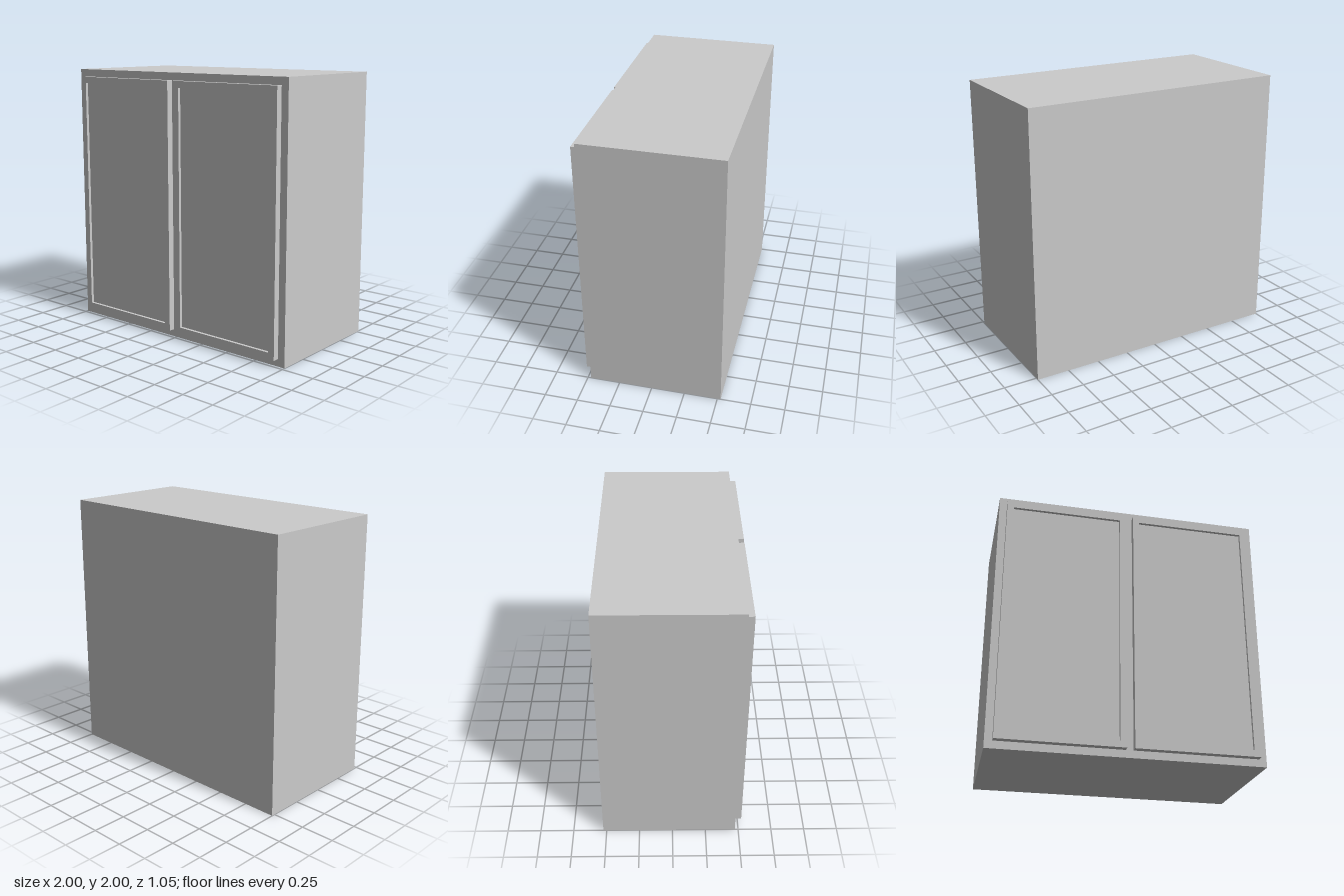
import * as THREE from 'three';

const material = new THREE.MeshStandardMaterial({ color: 0xcccccc, flatShading: true });

function box(name, w, h, d, x, y, z) {
  const mesh = new THREE.Mesh(new THREE.BoxGeometry(w, h, d), material);
  mesh.name = name;
  mesh.position.set(x, y, z);
  return mesh;
}

// Rectangle outline centred on the origin
function rectangle(PathType, w, h) {
  return new PathType([
    new THREE.Vector2(-w / 2, -h / 2),
    new THREE.Vector2(w / 2, -h / 2),
    new THREE.Vector2(w / 2, h / 2),
    new THREE.Vector2(-w / 2, h / 2),
  ]);
}

// Door: a raised rim around a shallow recessed panel
function createDoor(name) {
  const width = 0.916, height = 1.888, depth = 0.05, rim = 0.049, recess = 0.022;
  const door = new THREE.Group();
  door.name = name;

  const shape = rectangle(THREE.Shape, width, height);
  shape.holes.push(rectangle(THREE.Path, width - 2 * rim, height - 2 * rim));
  const frame = new THREE.Mesh(
    new THREE.ExtrudeGeometry(shape, { depth, bevelEnabled: false }),
    material
  );
  frame.name = 'doorFrame';

  const thickness = depth - recess;
  const panel = box('doorPanel', width - 2 * rim, height - 2 * rim, thickness, 0, 0, thickness / 2);
  door.add(frame, panel);
  return door;
}

export function createModel() {
  const cabinet = new THREE.Group();
  cabinet.name = 'wallCabinet';

  // Plain carcass
  cabinet.add(box('carcass', 2, 2, 1, 0, 1, -0.025));

  // Pair of doors on the front
  for (const side of [-1, 1]) {
    const door = createDoor(side > 0 ? 'leftDoor' : 'rightDoor');
    door.position.set(side * 0.486, 1, 0.475);
    cabinet.add(door);
  }
  return cabinet;
}
